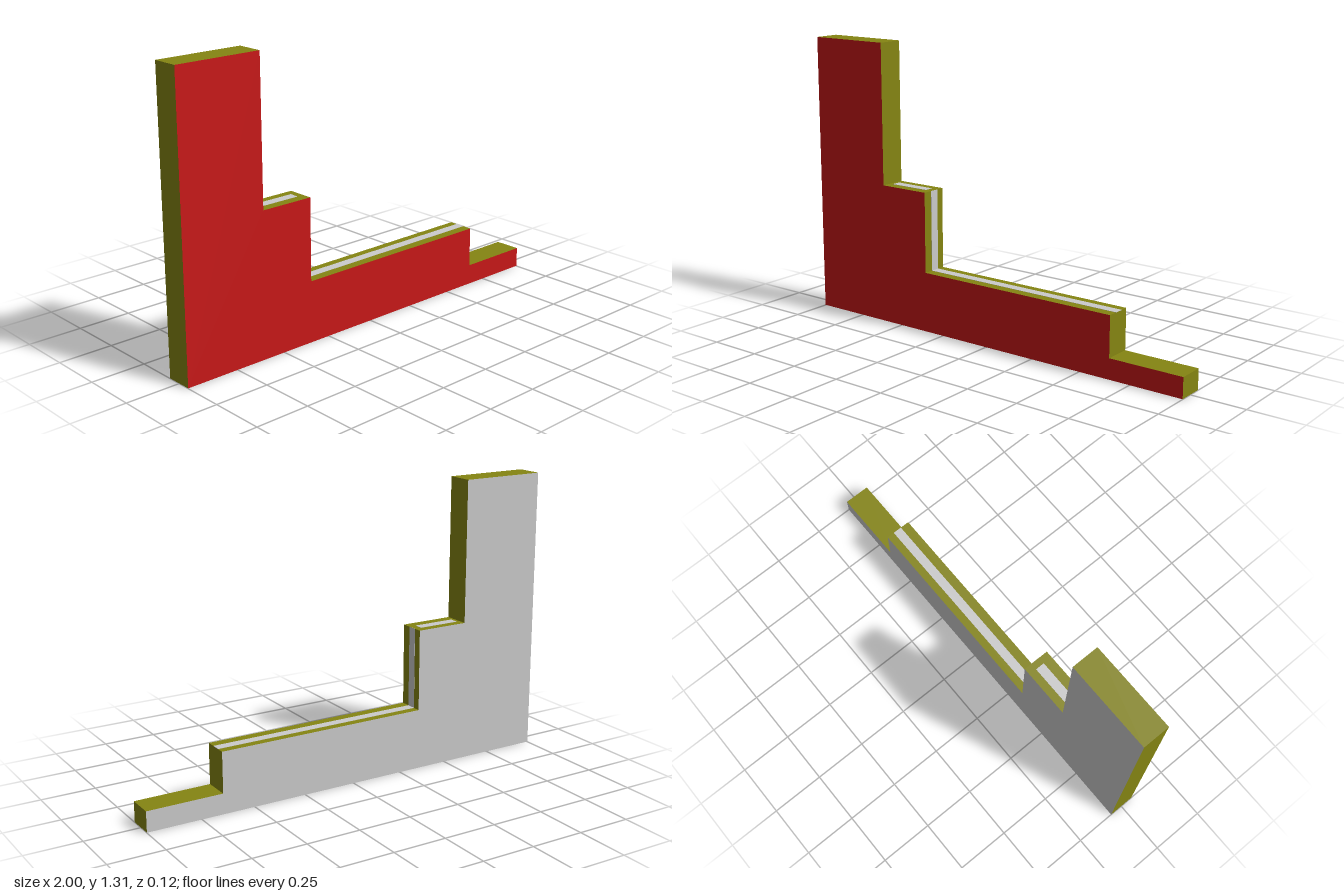
import * as THREE from 'three';

const DEPTH = 0.124;
const grey = new THREE.MeshStandardMaterial({ color: 0xcccccc });
const red = new THREE.MeshStandardMaterial({ color: 0xc81818 });
const olive = new THREE.MeshStandardMaterial({ color: 0x858512 });

// Stepped slab: grey back, red front, olive edges
function steppedPanel() {
  const outline = [
    [-1, 0], [1, 0], [1, 0.094], [0.65, 0.094], [0.65, 0.281],
    [-0.348, 0.281], [-0.348, 0.656], [-0.598, 0.656], [-0.598, 1.313], [-1, 1.313],
  ];
  const shape = new THREE.Shape(outline.map(([x, y]) => new THREE.Vector2(x, y)));
  const geometry = new THREE.ExtrudeGeometry(shape, { depth: DEPTH, bevelEnabled: false });
  geometry.translate(0, 0, -DEPTH / 2);

  // Split the caps so the back and front take different colours
  const [caps, sides] = geometry.groups;
  const half = caps.count / 2;
  geometry.clearGroups();
  geometry.addGroup(0, half, 0);
  geometry.addGroup(half, half, 1);
  geometry.addGroup(sides.start, sides.count, 2);
  const mesh = new THREE.Mesh(geometry, [grey, red, olive]);
  mesh.name = 'steppedPanel';
  return mesh;
}

// Thin grey inlay lying just proud of an edge face
function inlay(name, x0, x1, y0, y1) {
  const mesh = new THREE.Mesh(new THREE.BoxGeometry(x1 - x0, y1 - y0, 0.043), grey);
  mesh.position.set((x0 + x1) / 2, (y0 + y1) / 2, -0.004);
  mesh.name = name;
  return mesh;
}

export function createModel() {
  const group = new THREE.Group();
  group.name = 'steppedWall';
  const e = 0.001;
  group.add(
    steppedPanel(),
    inlay('lowerStepInlay', -0.348, 0.65, 0.281 - e, 0.281 + e),
    inlay('riserInlay', -0.348 - e, -0.348 + e, 0.281, 0.656),
    inlay('upperStepInlay', -0.58, -0.38, 0.656 - e, 0.656 + e),
    inlay('baseInlay', -0.97, 0.5, -e, e),
  );
  return group;
}
